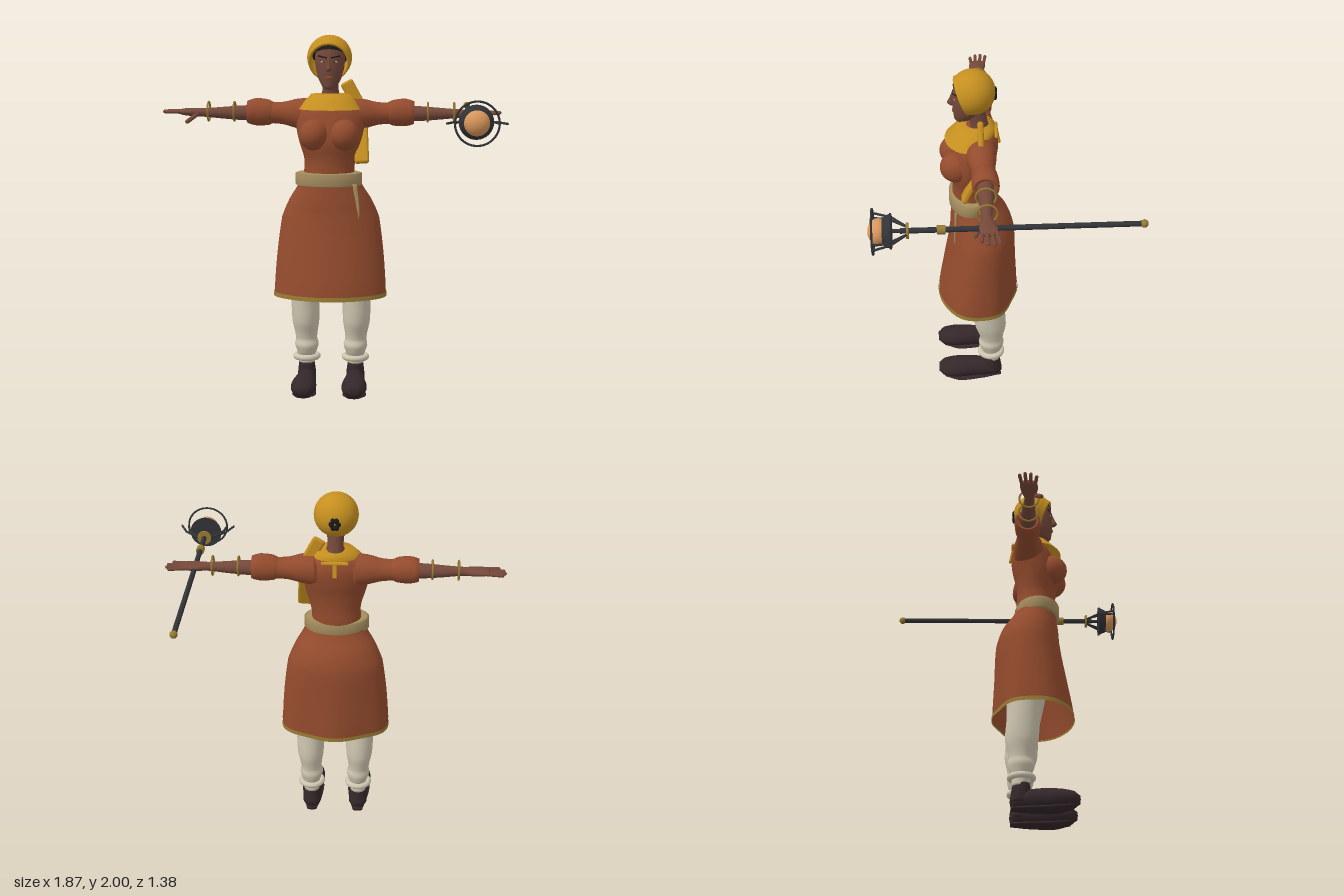
import * as THREE from 'three';
import { RoundedBoxGeometry } from 'three/addons/geometries/RoundedBoxGeometry.js';

const mat = (name, color, side = THREE.FrontSide) => {
  const m = new THREE.MeshStandardMaterial({ color, side });
  m.name = name;
  return m;
};

// Smooth body from elliptical rings [y, cx, cz, rx, rz], listed with y rising
function loft(rings, { n = 32, steps = 4, caps = true, warp = () => 1 } = {}) {
  const rows = [];
  for (let i = 0; i < rings.length - 1; i++) {
    const [p0, p1, p2, p3] = [-1, 0, 1, 2].map(k => rings[Math.min(Math.max(i + k, 0), rings.length - 1)]);
    for (let s = 0; s < steps; s++) {
      const t = s / steps;
      rows.push(p1.map((_, k) => k === 0 ? p1[0] + (p2[0] - p1[0]) * t
        : 0.5 * (2 * p1[k] + (p2[k] - p0[k]) * t + (2 * p0[k] - 5 * p1[k] + 4 * p2[k] - p3[k]) * t * t
          + (3 * p1[k] - p0[k] - 3 * p2[k] + p3[k]) * t ** 3)));
    }
  }
  rows.push(rings[rings.length - 1]);
  const pos = [], idx = [];
  for (const [y, cx, cz, rx, rz] of rows) {
    for (let j = 0; j < n; j++) {
      const a = j / n * Math.PI * 2, w = warp(a, y);
      pos.push(cx + rx * w * Math.sin(a), y, cz + rz * w * Math.cos(a));
    }
  }
  const last = (rows.length - 1) * n, c = rows.length * n;
  for (let j = 0; j < n; j++) {
    const k = (j + 1) % n;
    for (let o = 0; o < last; o += n) idx.push(o + j, o + k, o + n + k, o + j, o + n + k, o + n + j);
    if (caps) idx.push(c, k, j, c + 1, last + j, last + k);
  }
  if (caps) for (const r of [rows[0], rows[rows.length - 1]]) pos.push(r[1], r[0], r[2]);
  const g = new THREE.BufferGeometry();
  g.setAttribute('position', new THREE.Float32BufferAttribute(pos, 3));
  g.setIndex(idx);
  g.computeVertexNormals();
  return g;
}
// Rings [x, y, z, ry, rz] running along x, and [z, x, y, rx, ry] running along z
const loftX = (r, o) => loft(r.map(([x, y, z, ry, rz]) => [x, -y, z, ry, rz]), o).rotateZ(-Math.PI / 2);
const loftZ = (r, o) => loft(r.map(([z, x, y, rx, ry]) => [z, x, -y, rx, ry]), o).rotateX(Math.PI / 2);

const ball = (x, y, z, rx, ry, rz) => new THREE.SphereGeometry(1, 28, 18).scale(rx, ry, rz).translate(x, y, z);

// Rounded rod between two points
function rod(a, b, r) {
  const p = new THREE.Vector3(...a), q = new THREE.Vector3(...b), d = q.clone().sub(p);
  const turn = new THREE.Quaternion().setFromUnitVectors(new THREE.Vector3(0, 1, 0), d.clone().normalize());
  return new THREE.CapsuleGeometry(r, d.length(), 4, 10).applyQuaternion(turn).translate(...p.add(q).multiplyScalar(0.5));
}

function mirrored(geo) {
  const g = geo.clone().scale(-1, 1, 1), a = g.index.array;
  for (let i = 0; i < a.length; i += 3) [a[i], a[i + 1]] = [a[i + 1], a[i]];
  return g;
}

export function createModel() {
  const model = new THREE.Group();
  const D = THREE.DoubleSide;
  const dress = mat('rust cloth', 0x934b2d, D), yellow = mat('yellow cloth', 0xc58f1f, D);
  const sash = mat('tan sash', 0xa58d5e, D), skin = mat('brown skin', 0x74483a);
  const cream = mat('cream cloth', 0xcdc5af), boot = mat('dark leather', 0x34272a);
  const metal = mat('dark metal', 0x323337), glow = mat('amber orb', 0xd8965c);
  const hair = mat('black hair', 0x1b1a1b, D), gold = mat('old gold', 0x967a33, D);
  const add = (name, geo, m) => {
    const mesh = new THREE.Mesh(geo, m);
    mesh.name = name;
    model.add(mesh);
  };
  const pair = (name, geo, m) => {
    add(name + 'Left', geo, m);
    add(name + 'Right', mirrored(geo), m);
  };

  // Skirt with soft folds and a gold hem
  const folds = (a, y) => 1 + 0.035 * Math.max(0, (1.05 - y) / 0.5) * Math.cos(6 * a) * (0.5 - 0.5 * Math.cos(a));
  add('skirt', loft([[0.575, 0, 0.135, 0.315, 0.222], [0.8, 0, 0.12, 0.298, 0.2], [1.0, 0, 0.106, 0.27, 0.18],
    [1.1, 0, 0.118, 0.227, 0.16], [1.2, 0, 0.145, 0.17, 0.122]], { n: 72, caps: false, warp: folds }), dress);
  add('skirtHem', loft([[0.567, 0, 0.135, 0.319, 0.226], [0.59, 0, 0.134, 0.317, 0.224]],
    { n: 72, steps: 1, caps: false, warp: folds }), gold);

  // Bodice
  add('bodice', loft([[1.2, -0.005, 0.155, 0.145, 0.112], [1.26, -0.005, 0.153, 0.138, 0.112],
    [1.33, 0, 0.155, 0.142, 0.11], [1.42, 0, 0.16, 0.168, 0.122], [1.5, 0, 0.145, 0.186, 0.125],
    [1.58, 0, 0.13, 0.19, 0.118], [1.635, 0, 0.125, 0.145, 0.1], [1.668, 0, 0.125, 0.085, 0.08]]), dress);
  pair('bust', ball(0.083, 1.465, 0.242, 0.08, 0.085, 0.088), dress);

  // Sash and its hanging end
  add('sash', loft([[1.182, -0.006, 0.163, 0.168, 0.11], [1.188, -0.006, 0.163, 0.183, 0.122],
    [1.25, -0.006, 0.163, 0.183, 0.122], [1.256, -0.006, 0.163, 0.168, 0.11]], { steps: 1 }), sash);
  add('sashEnd', loft([[1.01, 0.163, 0.262, 0.002, 0.004], [1.08, 0.157, 0.257, 0.009, 0.005],
    [1.2, 0.14, 0.25, 0.013, 0.007]], { n: 10 }), sash);

  // Collar, with a small yoke down the back
  add('collar', loft([[1.6, 0, 0.165, 0.17, 0.135], [1.64, 0, 0.148, 0.142, 0.117], [1.68, 0, 0.13, 0.105, 0.1],
    [1.684, 0, 0.128, 0.052, 0.055]], { steps: 1, caps: false }), yellow);
  add('backYoke', new RoundedBoxGeometry(0.15, 0.02, 0.02, 2, 0.008).rotateX(0.45).translate(0, 1.64, 0.024), yellow);
  add('backTab', new RoundedBoxGeometry(0.025, 0.08, 0.014, 2, 0.006).rotateX(0.2).translate(0, 1.6, 0.013), yellow);

  // Scarf over the left shoulder
  add('scarfTop', new RoundedBoxGeometry(0.072, 0.14, 0.032, 3, 0.014).rotateZ(0.5).translate(0.118, 1.685, 0.11), yellow);
  add('scarfEnd', new RoundedBoxGeometry(0.078, 0.27, 0.034, 3, 0.014).rotateX(-0.45).rotateZ(0.06).translate(0.17, 1.43, 0.15), yellow);

  // Neck and head
  add('neck', loft([[1.62, 0, 0.105, 0.056, 0.055], [1.7, 0, 0.115, 0.045, 0.047], [1.8, 0, 0.14, 0.047, 0.055]]), skin);
  add('head', loft([[1.708, 0, 0.215, 0.018, 0.02], [1.722, 0, 0.2, 0.038, 0.045], [1.76, 0, 0.18, 0.06, 0.07],
    [1.82, 0, 0.165, 0.077, 0.09], [1.88, 0, 0.158, 0.081, 0.094], [1.94, 0, 0.15, 0.073, 0.086],
    [1.98, 0, 0.145, 0.035, 0.04]]), skin);
  add('nose', loft([[1.808, 0, 0.255, 0.014, 0.016], [1.82, 0, 0.26, 0.016, 0.022], [1.845, 0, 0.256, 0.009, 0.014],
    [1.88, 0, 0.25, 0.007, 0.007]], { n: 14 }), skin);
  add('lips', ball(0, 1.773, 0.249, 0.021, 0.008, 0.008), dress);
  pair('eyeWhite', ball(0.031, 1.857, 0.243, 0.014, 0.005, 0.004).rotateY(0), cream);
  pair('iris', ball(0.03, 1.857, 0.245, 0.005, 0.005, 0.0045), hair);
  pair('eyelid', rod([0.016, 1.859, 0.247], [0.047, 1.865, 0.234], 0.0028), hair);
  pair('eyebrow', rod([0.014, 1.879, 0.25], [0.055, 1.888, 0.228], 0.0045), hair);

  // Hair and hood
  add('hair', new THREE.SphereGeometry(1, 32, 14, 0, Math.PI * 2, 0, Math.PI / 2).scale(0.095, 0.085, 0.108)
    .rotateX(-0.45).translate(0, 1.878, 0.152), hair);
  const profile = [];
  for (let i = 0; i <= 16; i++) {
    const a = -Math.PI / 2 + i / 16 * (Math.PI / 2 + 0.45);
    profile.push(new THREE.Vector2(Math.max(0.0001, 0.122 * Math.cos(a)), 0.122 * Math.sin(a)));
  }
  profile.push(new THREE.Vector2(0.111, 0.064), new THREE.Vector2(0.104, 0.068), new THREE.Vector2(0.097, 0.062),
    new THREE.Vector2(0.098, 0.03));
  add('hood', new THREE.LatheGeometry(profile, 40).rotateX(1.94).translate(-0.003, 1.878, 0.147), yellow);
  for (let i = 0; i < 6; i++) {
    const a = i * Math.PI / 3;
    add('hairKnot', ball(0.018 * Math.cos(a), 1.868 + 0.022 * Math.sin(a), 0.03, 0.015, 0.017, 0.012), hair);
  }

  // Arms, sleeves and bangles
  pair('arm', loftX([[0.38, 1.572, 0.1, 0.044, 0.046], [0.5, 1.572, 0.1, 0.04, 0.042], [0.6, 1.572, 0.1, 0.032, 0.034],
    [0.7, 1.573, 0.102, 0.024, 0.027], [0.76, 1.574, 0.1, 0.022, 0.043], [0.81, 1.576, 0.097, 0.019, 0.047],
    [0.845, 1.577, 0.095, 0.012, 0.042]], { n: 24 }), skin);
  [[0.06, 0.91, 0.046], [0.083, 0.925, 0.074], [0.106, 0.92, 0.105], [0.13, 0.895, 0.135]].forEach(([z, x, tipZ]) =>
    pair('finger', rod([0.82, 1.577, z], [x, 1.577, tipZ], 0.0095), skin));
  pair('thumb', rod([0.735, 1.565, 0.13], [0.785, 1.527, 0.162], 0.012), skin);
  pair('sleeve', loftX([[0.1, 1.565, 0.115, 0.09, 0.09], [0.18, 1.57, 0.11, 0.082, 0.08], [0.26, 1.572, 0.104, 0.062, 0.064],
    [0.36, 1.575, 0.1, 0.058, 0.06]]), dress);
  pair('cuff', loftX([[0.31, 1.575, 0.1, 0.056, 0.058], [0.34, 1.576, 0.1, 0.07, 0.068], [0.41, 1.578, 0.097, 0.076, 0.071],
    [0.458, 1.577, 0.097, 0.062, 0.069], [0.45, 1.577, 0.097, 0.044, 0.045]], { steps: 2, caps: false }), dress);
  for (const x of [0.532, 0.675]) {
    pair('bangle', new THREE.TorusGeometry(0.052, 0.0055, 8, 28).rotateY(Math.PI / 2).translate(x, 1.58, 0.1), gold);
  }

  // Legs, ankle rolls and boots
  pair('trouserLeg', loft([[0.14, 0.138, 0.055, 0.045, 0.045], [0.19, 0.138, 0.058, 0.046, 0.048],
    [0.22, 0.138, 0.06, 0.055, 0.062], [0.26, 0.138, 0.062, 0.067, 0.073], [0.3, 0.14, 0.06, 0.06, 0.066],
    [0.4, 0.143, 0.066, 0.076, 0.09], [0.57, 0.143, 0.078, 0.082, 0.09], [0.75, 0.125, 0.095, 0.1, 0.11],
    [0.95, 0.105, 0.11, 0.105, 0.12]]), cream);
  pair('ankleRoll', new THREE.TorusGeometry(0.061, 0.017, 12, 32).rotateX(Math.PI / 2).translate(0.138, 0.19, 0.063), cream);
  pair('bootShaft', loft([[0.05, 0.138, 0.055, 0.052, 0.055], [0.11, 0.138, 0.06, 0.05, 0.052],
    [0.157, 0.138, 0.062, 0.044, 0.047]]), boot);
  pair('bootFoot', loftZ([[0.003, 0.137, 0.058, 0.022, 0.025], [0.02, 0.137, 0.062, 0.042, 0.048],
    [0.08, 0.137, 0.066, 0.052, 0.056], [0.17, 0.138, 0.071, 0.058, 0.061], [0.27, 0.14, 0.071, 0.07, 0.057],
    [0.34, 0.14, 0.07, 0.06, 0.045], [0.372, 0.138, 0.07, 0.03, 0.022]]), boot);
  pair('bootSole', loftZ([[0.006, 0.137, 0.02, 0.03, 0.012], [0.1, 0.137, 0.017, 0.05, 0.015],
    [0.25, 0.14, 0.018, 0.066, 0.015], [0.335, 0.14, 0.032, 0.045, 0.013]]), boot);

  // Staff held in the left hand
  const X = 0.775, Y = 1.565;
  const disc = (r1, r0, z, len) => new THREE.CylinderGeometry(r1, r0, len, 28).rotateX(Math.PI / 2).translate(X, Y, z);
  add('staffShaft', disc(0.014, 0.014, -0.07, 1.2), metal);
  add('staffPommel', ball(X, Y, -0.67, 0.021, 0.021, 0.021), gold);
  add('staffCollar', disc(0.023, 0.023, 0.33, 0.042), gold);
  add('staffFlange', disc(0.04, 0.04, 0.495, 0.012), gold);
  add('staffNeck', disc(0.01, 0.01, 0.54, 0.09), metal);
  add('orbCup', disc(0.068, 0.09, 0.595, 0.045), metal);
  add('orb', ball(X, Y, 0.637, 0.066, 0.066, 0.053), glow);
  for (const [r, z] of [[0.084, 0.577], [0.112, 0.665]]) {
    add('staffRing', new THREE.TorusGeometry(r, 0.0055, 8, 48).translate(X, Y, z), metal);
  }
  for (const s of [-1, 1]) {
    add('outerProngBase', rod([X + s * 0.03, Y, 0.495], [X + s * 0.115, Y, 0.575], 0.006), metal);
    add('outerProngTip', rod([X + s * 0.115, Y, 0.575], [X + s * 0.152, Y, 0.66], 0.006), metal);
    add('innerProngBase', rod([X + s * 0.03, Y, 0.495], [X + s * 0.1, Y, 0.59], 0.006), metal);
    add('innerProngTip', rod([X + s * 0.1, Y, 0.59], [X + s * 0.112, Y, 0.662], 0.006), metal);
  }
  return model;
}
